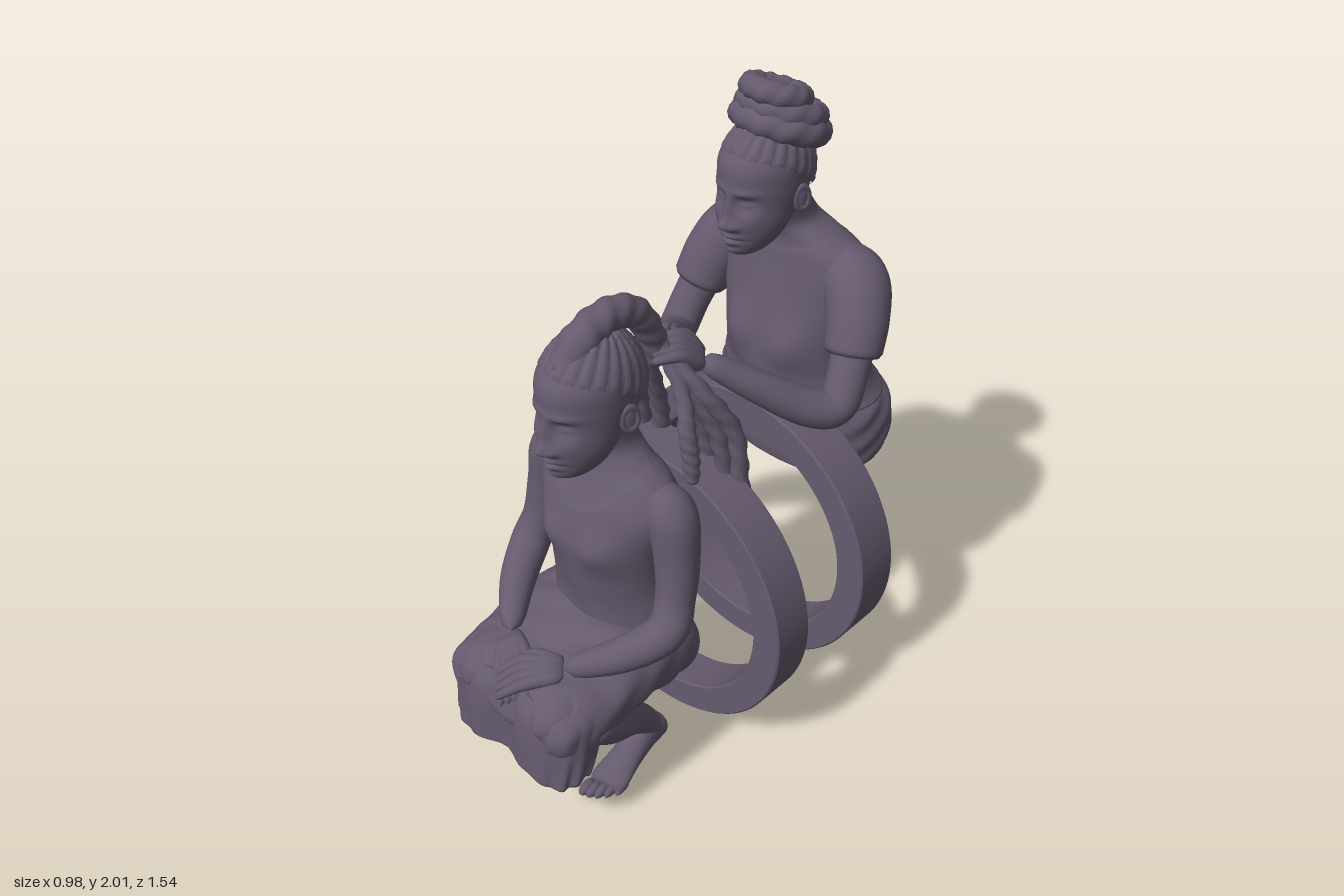
import * as THREE from 'three';

const material = new THREE.MeshStandardMaterial({ color: 0x655a6e });
const gauss = (d, s) => Math.exp(-(d * d) / (s * s));
const power = (v, e) => Math.sign(v) * Math.abs(v) ** e;

function add(parent, name, object) {
  const child = object.isBufferGeometry ? new THREE.Mesh(object, material) : object;
  child.name = name;
  parent.add(child);
  return child;
}

// smooth interpolation through rows of numbers
function sample(rows, t) {
  const n = rows.length - 1, i = Math.min(Math.floor(t * n), n - 1), f = t * n - i;
  const [a, b, c, d] = [rows[Math.max(i - 1, 0)], rows[i], rows[i + 1], rows[Math.min(i + 2, n)]];
  return b.map((q, k) => 0.5 * (2 * q + (c[k] - a[k]) * f + (2 * a[k] - 5 * q + 4 * c[k] - d[k]) * f * f
    + (3 * q - a[k] - 3 * c[k] + d[k]) * f * f * f));
}

// closed-around grid surface, point(angle, row) -> [x, y, z]
function surface(nu, nv, point) {
  const pos = [], idx = [];
  for (let j = 0; j <= nv; j++) for (let i = 0; i < nu; i++) {
    pos.push(...point((i / nu) * Math.PI * 2, j));
    const a = j * nu + i, b = j * nu + (i + 1) % nu;
    if (j < nv) idx.push(a, b, b + nu, a, b + nu, a + nu);
  }
  const g = new THREE.BufferGeometry().setIndex(idx);
  g.setAttribute('position', new THREE.Float32BufferAttribute(pos, 3));
  g.computeVertexNormals();
  return g;
}

// stacked sections [level, centre, rx, r2] along y (centre in z) or along z (centre in y)
function loft(rows, { nu = 72, nv = 64, axis = 'y', square = 1, shape = (p) => p } = {}) {
  return surface(nu, nv + 4, (a, j) => {
    const shrink = j === 0 || j === nv + 4 ? 0 : j === 1 || j === nv + 3 ? 0.97 : 1;
    const [l, c, rx, r2] = sample(rows, Math.min(Math.max((j - 2) / nv, 0), 1));
    const s = power(Math.sin(a), square) * shrink, k = power(Math.cos(a), square) * shrink;
    return shape(axis === 'y' ? [s * rx, l, c + k * r2] : [k * rx, c + s * r2, l], a);
  });
}

// round-ended limb through [x, y, z, radius]; twist adds rope strands
function limb(parent, name, pts, { nu = 16, nv = 28, twist = 0, depth = 0.16, cap = 0.1 } = {}) {
  const curve = new THREE.CatmullRomCurve3(pts.map((p) => new THREE.Vector3(...p)), false, 'catmullrom', 0.5);
  curve.getTangentAt = curve.getTangent;
  const { normals, binormals } = curve.computeFrenetFrames(nv, false);
  add(parent, name, surface(nu, nv, (a, j) => {
    const t = j / nv, e = Math.min(t, 1 - t) / cap;
    const r = sample(pts, t)[3] * (e < 1 ? Math.sqrt(1 - (1 - e) ** 2) : 1) * (twist ? 1 + depth * Math.cos(2 * a + twist * t) : 1);
    return curve.getPoint(t).addScaledVector(normals[j], Math.cos(a) * r).addScaledVector(binormals[j], Math.sin(a) * r).toArray();
  }));
}

function ball(parent, name, p, r) {
  add(parent, name, new THREE.SphereGeometry(1, 16, 10).scale(...r).translate(...p));
}

// four fingers running from wrist over the knuckles, plus a thumb
function hand(parent, name, wrist, knuckle, tip, up, s) {
  const g = add(parent, name, new THREE.Group());
  const [w, k, e, u] = [wrist, knuckle, tip, up].map((p) => new THREE.Vector3(...p));
  const side = k.clone().sub(w).cross(u).normalize().multiplyScalar(s);
  const at = (p, d, r) => [...p.clone().addScaledVector(side, d).toArray(), r];
  for (let i = 0; i < 4; i++) {
    const d = (i - 1.5) * 0.023, mid = k.clone().lerp(e, 0.5).addScaledVector(u, 0.008);
    limb(g, 'finger', [at(w, d * 0.5, 0.026), at(k, d, 0.02), at(mid, d * 1.05, 0.015), at(e, d, 0.012)], { nu: 10, nv: 18 });
  }
  limb(g, 'thumb', [at(w, 0.015, 0.02), at(w.clone().lerp(k, 0.7), 0.05, 0.017), at(k.clone().lerp(e, 0.3), 0.055, 0.011)], { nu: 10, nv: 14 });
}

// head with face, ears and cornrows; origin between the ears, face to +z
function head(parent, position, scale) {
  const g = add(parent, 'head', new THREE.Group());
  // x, y, width, height, depth of each facial relief
  const face = [[0, -0.04, 0.016, 0.045, 0.018], [0, -0.086, 0.021, 0.02, 0.034], [0.024, -0.094, 0.014, 0.013, 0.016],
    [0.048, -0.018, 0.03, 0.022, -0.024], [0.05, -0.022, 0.021, 0.012, 0.019], [0.05, -0.026, 0.02, 0.0045, -0.007],
    [0.05, 0.018, 0.036, 0.012, 0.009], [0, -0.128, 0.034, 0.01, 0.017], [0, -0.139, 0.04, 0.005, -0.009],
    [0, -0.151, 0.028, 0.011, 0.017], [0, -0.183, 0.03, 0.018, 0.012], [0.07, -0.07, 0.03, 0.03, 0.008]];
  const rows = [[-0.203, 0.075, 0.035, 0.04], [-0.185, 0.06, 0.062, 0.07], [-0.15, 0.045, 0.09, 0.095], [-0.1, 0.03, 0.11, 0.12],
    [-0.04, 0, 0.122, 0.15], [0.03, -0.012, 0.128, 0.162], [0.09, -0.015, 0.125, 0.16], [0.14, -0.02, 0.1, 0.13], [0.18, -0.03, 0.06, 0.08]];
  add(g, 'face', loft(rows, { nu: 96, nv: 84, shape: ([x, y, z], a) => {
    const front = Math.max(0, Math.cos(a)) ** 0.5;
    for (const [fx, fy, sx, sy, d] of face) z += front * d * gauss(Math.abs(x) - fx, sx) * gauss(y - fy, sy);
    return [x, y, z];
  } }));
  // braided rows run from the hairline up to the gathered crown
  const ct = Math.cos(0.35), st = Math.sin(0.35);
  add(g, 'cornrows', surface(132, 22, (phi, j) => {
    const th = (1.53 - 0.22 * Math.cos(phi) + 0.08 * Math.cos(2 * phi) + 0.03 * Math.cos(22 * phi)) * (1 - j / 22);
    const r = (j === 0 ? 0.95 : 1) + 0.04 * Math.abs(Math.sin(phi * 11)) + 0.008 * Math.sin(j * 2.4);
    const x = Math.sin(th) * Math.sin(phi), y = Math.cos(th), z = Math.sin(th) * Math.cos(phi);
    return [x * 0.132 * r, 0.03 + (y * ct + z * st) * 0.168 * r, -0.015 + (z * ct - y * st) * 0.166 * r];
  }));
  for (const s of [1, -1]) {
    const ear = add(g, 'ear', new THREE.Group());
    add(ear, 'earRim', new THREE.TorusGeometry(0.024, 0.008, 8, 24).scale(1, 1.5, 1));
    ball(ear, 'earBowl', [0, -0.008, -0.004], [0.024, 0.042, 0.009]);
    ear.position.set(s * 0.13, -0.025, -0.03);
    ear.rotation.set(0, s * 1.3, s * 0.08);
  }
  g.position.set(...position);
  g.scale.setScalar(scale);
}

function wheel(parent, name, y, z, outer, depth) {
  const shape = new THREE.Shape().absarc(0, 0, outer, 0, Math.PI * 2);
  shape.holes.push(new THREE.Path().absarc(0, 0, outer - 0.1, 0, Math.PI * 2, true));
  const options = { depth: depth - 0.01, curveSegments: 96, bevelSize: 0.005, bevelThickness: 0.005, bevelOffset: -0.005, bevelSegments: 1 };
  add(parent, name, new THREE.ExtrudeGeometry(shape, options).translate(0, y, z + 0.005));
}

function seatedWoman(parent) {
  const g = add(parent, 'seatedWoman', new THREE.Group());
  // torso and neck, the top standing slightly proud of the skin below its neckline
  add(g, 'torso', loft([[0.42, 0.27, 0.24, 0.15], [0.62, 0.275, 0.2, 0.145], [0.74, 0.28, 0.19, 0.155], [0.86, 0.285, 0.202, 0.16], [0.98, 0.28, 0.23, 0.14],
    [1.06, 0.275, 0.2, 0.11], [1.11, 0.275, 0.13, 0.092], [1.16, 0.28, 0.08, 0.084], [1.24, 0.305, 0.072, 0.085], [1.3, 0.32, 0.07, 0.08]], { nv: 70, shape: ([x, y, z], a) => {
    z += Math.max(0, Math.cos(a)) * 0.022 * gauss(Math.abs(x) - 0.095, 0.06) * gauss(y - 0.87, 0.06);
    const k = y < 0.985 + 6 * x * x + (Math.cos(a) < 0 ? 0.04 : 0) ? 1.035 + 0.012 * Math.sin(x * 45 + y * 20) * gauss(y - 0.62, 0.1) : 1;
    return [x * k, y, 0.28 + (z - 0.28) * k];
  } }));
  head(g, [0, 1.33, 0.36], 1);
  // skirt over hips and thighs, dipping between the knees, and its hanging hem
  add(g, 'skirt', loft([[0.11, 0.4, 0.13, 0.06], [0.15, 0.42, 0.22, 0.115], [0.25, 0.45, 0.26, 0.15], [0.4, 0.465, 0.272, 0.135], [0.55, 0.445, 0.272, 0.125],
    [0.66, 0.43, 0.262, 0.12], [0.72, 0.42, 0.245, 0.095], [0.745, 0.41, 0.2, 0.05]], { axis: 'z', square: 0.8, nv: 48, shape: ([x, y, z], a) => {
    const dip = 0.05 * THREE.MathUtils.smoothstep(z, 0.4, 0.65) * gauss(x, 0.075) * Math.max(0, Math.sin(a));
    return [x * (1 + 0.012 * Math.sin(z * 40 + y * 50)), y - dip + 0.004 * Math.sin(z * 55 + x * 25), z];
  } }));
  add(g, 'hem', loft([[0.25, 0.678, 0.25, 0.088], [0.31, 0.664, 0.257, 0.1], [0.38, 0.65, 0.262, 0.112], [0.46, 0.635, 0.258, 0.115], [0.51, 0.625, 0.22, 0.095]],
    { nu: 112, nv: 18, square: 0.75, shape: ([x, y, z], a) => {
      const f = 1 + 0.025 * Math.sin(a * 14) * THREE.MathUtils.smoothstep(0.45 - y, 0, 0.2);
      return [x * f, y + 0.01 * Math.cos(a * 4), 0.65 + (z - 0.65) * f - 0.03 * gauss(x, 0.06) * Math.max(0, Math.cos(a))];
    } }));
  for (const s of [1, -1]) {
    limb(g, 'knee', [[s * 0.16, 0.46, 0.45, 0.09], [s * 0.15, 0.455, 0.6, 0.092], [s * 0.145, 0.44, 0.752, 0.085]], { cap: 0.35 });
    limb(g, 'arm', [[s * 0.16, 1.05, 0.275, 0.05], [s * 0.228, 1.0, 0.278, 0.073], [s * 0.255, 0.87, 0.285, 0.066], [s * 0.272, 0.74, 0.31, 0.058],
      [s * 0.28, 0.65, 0.36, 0.06], [s * 0.22, 0.6, 0.47, 0.053], [s * 0.11, 0.56, 0.6, 0.034]], { nu: 22, nv: 40, cap: 0.06 });
    hand(g, 'foldedHand', [s * 0.115, 0.557 + s * 0.008, 0.6], [s * 0.035, 0.54 + s * 0.012, 0.672], [s * -0.035, 0.482 + s * 0.01, 0.735], [0, 0.8, 0.6], s);
    limb(g, 'shin', [[s * 0.15, 0.36, 0.58, 0.07], [s * 0.14, 0.27, 0.47, 0.075], [s * 0.128, 0.17, 0.345, 0.053], [s * 0.125, 0.09, 0.28, 0.043], [s * 0.125, 0.04, 0.265, 0.04]]);
    // foot turned slightly outwards, with toes
    const foot = add(g, 'foot', new THREE.Group());
    add(foot, 'sole', loft([[-0.055, 0.04, 0.025, 0.028], [-0.035, 0.05, 0.043, 0.048], [0.04, 0.062, 0.045, 0.058], [0.13, 0.045, 0.05, 0.042],
      [0.21, 0.03, 0.06, 0.027], [0.245, 0.025, 0.052, 0.02]], { axis: 'z', nu: 28, nv: 24 }));
    for (let i = 0; i < 5; i++) ball(foot, 'toe', [s * (-0.045 + i * 0.023), 0.02, 0.275 - i * i * 0.0035], [0.018 - i * 0.0015, 0.019 - i * 0.0015, 0.034]);
    foot.position.set(s * 0.122, 0, 0.27);
    foot.rotation.y = s * 0.17;
  }
  // gathered hair arching back, then loose ropes falling to either side
  limb(g, 'ponytail', [[0, 1.43, 0.44, 0.05], [0, 1.51, 0.38, 0.052], [0, 1.545, 0.28, 0.047], [0, 1.51, 0.18, 0.044], [0, 1.41, 0.115, 0.04], [0, 1.3, 0.085, 0.036]],
    { nu: 18, nv: 70, twist: 55, depth: 0.06, cap: 0.05 });
  const ends = [[0.14, 1.15, 0.12, 0.12, 0.98], [0.15, 1.1, 0.01, -0.05, 0.76], [0.19, 1.1, -0.02, -0.055, 0.74], [0.08, 1.08, 0, -0.055, 0.8]];
  for (const s of [1, -1]) for (const [x, y, z, ze, ye] of ends) {
    limb(g, 'hairRope', [[0, 1.46, 0.14, 0.018], [s * 0.02, 1.38, 0.1, 0.02], [s * x * 0.7, 1.25, 0.06 + z * 0.3, 0.024], [s * x, y, z, 0.026],
      [s * (x + 0.015), (y + ye) / 2, (z + ze) / 2, 0.026], [s * (x + 0.02), ye, ze, 0.022]], { nu: 10, nv: 68, twist: 70, depth: 0.12, cap: 0.03 });
  }
}

function braidingWoman(parent) {
  const g = add(parent, 'braidingWoman', new THREE.Group());
  // shirt and neck, leaning forward
  add(g, 'shirt', loft([[0.945, -0.56, 0.272, 0.2], [1.0, -0.535, 0.24, 0.185], [1.1, -0.497, 0.212, 0.152], [1.2, -0.492, 0.218, 0.138], [1.3, -0.502, 0.242, 0.135],
    [1.4, -0.508, 0.258, 0.125], [1.46, -0.503, 0.235, 0.112], [1.505, -0.49, 0.16, 0.098], [1.545, -0.468, 0.088, 0.09], [1.6, -0.435, 0.075, 0.085], [1.66, -0.4, 0.072, 0.085]],
  { nv: 70, shape: ([x, y, z], a) => {
    z += Math.max(0, Math.cos(a)) * 0.03 * gauss(Math.abs(x) - 0.1, 0.07) * gauss(y - 1.17, 0.08);
    const k = y < 1.465 + 2 * x * x ? 1.025 + 0.01 * Math.sin(y * 60 + x * 15) * gauss(y - 1.02, 0.07) : 1;
    return [x * k, y, -0.5 + (z + 0.5) * k];
  } }));
  // draped hips cut flat beneath
  add(g, 'hips', loft([[0.695, -0.58, 0.262, 0.165], [0.74, -0.588, 0.285, 0.178], [0.82, -0.592, 0.296, 0.182], [0.9, -0.585, 0.29, 0.184], [0.945, -0.57, 0.262, 0.178], [0.98, -0.55, 0.2, 0.14]],
    { nu: 88, nv: 28, square: 0.85, shape: ([x, y, z], a) => {
      const f = 1 + 0.014 * Math.sin(y * 70 + z * 45) * Math.abs(Math.sin(a));
      return [x * f, y + (y < 0.75 ? -0.04 * (z + 0.58) : 0), z];
    } }));
  head(g, [0, 1.7, -0.335], 0.93);
  // bun of coiled hair ropes, sloping to the back
  const bun = add(g, 'bun', new THREE.Group());
  for (const [y, z, r, t] of [[-0.02, -0.01, 0.106, 0.04], [0.02, 0, 0.096, 0.036], [0.062, 0.045, 0.07, 0.034]]) {
    const pts = Array.from({ length: 18 }, (_, i) => [Math.sin(i * Math.PI / 8 + 3) * r, y, z + Math.cos(i * Math.PI / 8 + 3) * r, t]);
    limb(bun, 'coil', pts, { nu: 14, nv: 84, twist: 75, depth: 0.07, cap: 0.02 });
  }
  ball(bun, 'bunCore', [0, 0.03, 0.03], [0.085, 0.06, 0.085]);
  bun.position.set(0, 1.875, -0.4);
  bun.rotation.x = -0.36;
  for (const s of [1, -1]) {
    limb(g, 'sleeve', [[s * 0.14, 1.41, -0.51, 0.085], [s * 0.225, 1.39, -0.495, 0.098], [s * 0.275, 1.31, -0.452, 0.092], [s * 0.3, 1.205, -0.405, 0.084]], { nu: 24, cap: 0.06 });
    limb(g, 'arm', [[s * 0.275, 1.3, -0.45, 0.065], [s * 0.305, 1.17, -0.385, 0.06], [s * 0.31, 1.085, -0.33, 0.06], [s * 0.265, 1.1, -0.25, 0.058],
      [s * 0.165, 1.2, -0.12, 0.047], [s * 0.07, 1.295, -0.01, 0.033]], { nu: 20, nv: 36, cap: 0.06 });
    hand(g, 'braidingHand', [s * 0.072, 1.29, -0.015], [s * 0.05, 1.355, 0.045], [s * 0.012, 1.36, 0.125], [s * 0.5, 0.85, 0], s);
  }
}

export function createModel() {
  const model = new THREE.Group();
  model.name = 'hairBraidingSculpture';
  wheel(model, 'frontRing', 0.5, -0.035, 0.488, 0.14);
  wheel(model, 'backRing', 0.49, -0.44, 0.488, 0.15);
  seatedWoman(model);
  braidingWoman(model);
  return model;
}
